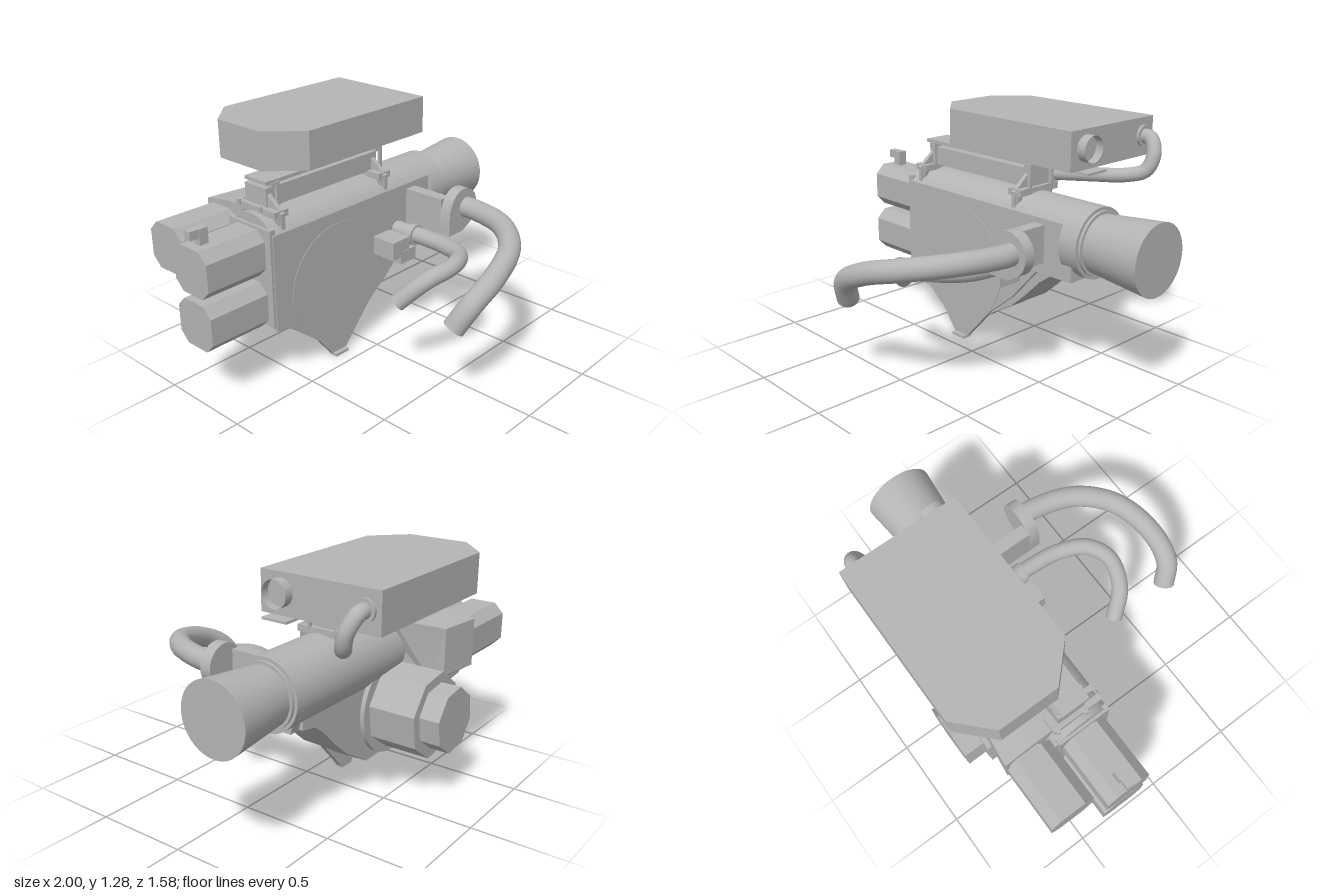
import * as THREE from 'three';
import { toCreasedNormals } from 'three/addons/utils/BufferGeometryUtils.js';

export function createModel() {
  const root = new THREE.Group();
  root.name = 'driveUnit';
  const grey = new THREE.MeshStandardMaterial({ color: 0xb4b4b4, side: THREE.DoubleSide });
  grey.name = 'machineGrey';

  const add = (name, geo) => {
    const m = new THREE.Mesh(geo, grey);
    m.name = name;
    root.add(m);
    return m;
  };
  // Box given by its limits on each axis
  const box = (name, x0, x1, y0, y1, z0, z1) => {
    const g = new THREE.BoxGeometry(x1 - x0, y1 - y0, z1 - z0);
    g.translate((x0 + x1) / 2, (y0 + y1) / 2, (z0 + z1) / 2);
    return add(name, g);
  };
  const polygon = (pts) => new THREE.Shape(pts.map(([a, b]) => new THREE.Vector2(a, b)));
  const extrude = (shape, depth) =>
    new THREE.ExtrudeGeometry(shape, { depth, bevelEnabled: false, curveSegments: 32 });
  // Outline in x,y swept from z0 to z1
  const slabZ = (name, shape, z0, z1) =>
    add(name, toCreasedNormals(extrude(shape, z1 - z0).translate(0, 0, z0), 0.5));
  // Outline in -z,y swept from x0 to x1
  const slabX = (name, shape, x0, x1) =>
    add(name, toCreasedNormals(extrude(shape, x1 - x0).rotateY(Math.PI / 2).translate(x0, 0, 0), 0.5));
  // Round bar along x; r0 at x0, r1 at x1
  const barX = (name, x0, x1, y, z, r0, r1 = r0, open = false) =>
    add(name, new THREE.CylinderGeometry(r0, r1, x1 - x0, 40, 1, open)
      .rotateZ(Math.PI / 2).translate((x0 + x1) / 2, y, z));
  // Octagonal outline with cut corners
  const octagon = (cx, cy, h, c) => polygon([
    [cx - h, cy - h + c], [cx - h + c, cy - h], [cx + h - c, cy - h], [cx + h, cy - h + c],
    [cx + h, cy + h - c], [cx + h - c, cy + h], [cx - h + c, cy + h], [cx - h, cy + h - c]]);
  // Bent pipe with closed ends
  const pipe = (name, pts, r) => {
    const curve = new THREE.CatmullRomCurve3(pts.map((p) => new THREE.Vector3(...p)));
    add(name, new THREE.TubeGeometry(curve, 64, r, 20));
    [0, 1].forEach((t) => {
      const cap = add(name + 'End', new THREE.CircleGeometry(r, 20));
      cap.position.copy(curve.getPointAt(t));
      const dir = curve.getTangentAt(t).multiplyScalar(t ? 1 : -1);
      cap.quaternion.setFromUnitVectors(new THREE.Vector3(0, 0, 1), dir);
    });
  };

  // Upper barrel, flattened at the front
  const barrel = new THREE.Shape();
  barrel.moveTo(0.1, 0.54);
  barrel.lineTo(0.1, 0.826);
  barrel.absarc(0.255, 0.725, 0.185, 2.565, -0.9, true);
  barrel.lineTo(0.36, 0.54);
  slabX('barrelHousing', barrel, -0.63, 0.6);

  // Nozzle with its rings
  barX('nozzleRing', 0.54, 0.65, 0.725, -0.255, 0.185);
  barX('nozzleCollar', 0.65, 0.665, 0.725, -0.255, 0.168);
  barX('nozzleCone', 0.66, 1, 0.725, -0.255, 0.152, 0.185);

  // Front plate with the pointed foot
  slabZ('frontPlate', polygon([
    [-0.63, 0.83], [-0.63, 0.31], [-0.53, 0.29], [-0.49, 0.25], [-0.34, 0.13], [-0.245, 0.01],
    [-0.15, 0.01], [0.04, 0.22], [0.2, 0.35], [0.38, 0.55], [0.54, 0.56], [0.54, 0.83]]), -0.13, -0.1);
  slabZ('lowerHousing', polygon([
    [-0.62, 0.75], [-0.62, 0.33], [-0.53, 0.28], [-0.4, 0.19], [0, 0.18], [0.06, 0.22],
    [0.18, 0.29], [0.27, 0.37], [0.38, 0.48], [0.45, 0.53], [0.54, 0.545], [0.54, 0.75]]), -0.385, -0.12);
  slabZ('footRib', polygon([
    [-0.4, 0.2], [-0.32, 0.13], [-0.27, 0.1], [-0.13, 0.1], [-0.06, 0.14], [0, 0.2]]), -0.24, -0.12);
  box('footLip', -0.245, -0.15, 0, 0.015, -0.13, -0.075);

  // Round cover on the front and round gear case at the back
  const disc = (name, r, z0, z1) => {
    const s = new THREE.Shape();
    s.absarc(-0.2, 0.445, r, 0, Math.PI * 2);
    slabZ(name, s, z0, z1);
  };
  disc('frontCover', 0.32, -0.13, -0.097);
  disc('rearGearCase', 0.265, -0.41, -0.38);

  // Motors along x
  const motorX = (name, x0, x1, y, z) => {
    slabX(name, octagon(-z, y, 0.123, 0.052), x0, x1);
    slabX(name + 'Neck', octagon(-z, y, 0.105, 0.04), x1, x1 + 0.05);
  };
  motorX('upperMotor', -1, -0.65, 0.725, -0.262);
  motorX('lowerMotor', -1, -0.65, 0.443, -0.262);
  motorX('rearUpperMotor', -0.93, -0.58, 0.735, -0.542);
  box('motorMount', -0.645, -0.61, 0.33, 0.86, -0.405, -0.105);

  // Cable plug on the upper motor
  box('plugPost', -0.95, -0.9, 0.84, 0.93, -0.29, -0.24);
  box('plugArm', -1, -0.95, 0.885, 0.93, -0.285, -0.245);

  // Rear gearbox, narrowing towards its inner end
  const gearbox = slabX('rearGearbox', polygon([
    [0.3, 0.56], [0.3, 0.89], [0.4, 0.9], [0.52, 0.89], [0.67, 0.865], [0.67, 0.61], [0.6, 0.56]]), -0.57, -0.2);
  const gp = gearbox.geometry.attributes.position;
  for (let i = 0; i < gp.count; i++) {
    if (gp.getX(i) > -0.3 && gp.getZ(i) < -0.5) {
      gp.setX(i, -0.32);
      gp.setZ(i, gp.getZ(i) + 0.03);
    }
  }
  gearbox.geometry = toCreasedNormals(gearbox.geometry, 0.3);

  // Motor facing backwards
  const motorZ = (name, r, z0, z1, turn) => {
    const pts = Array.from({ length: 8 }, (_, i) => {
      const a = turn + i * Math.PI / 4;
      return [-0.2 + r * Math.cos(a), 0.442 + r * Math.sin(a)];
    });
    slabZ(name, polygon(pts), z0, z1);
  };
  motorZ('backMotor', 0.228, -0.67, -0.4, 0.25);
  motorZ('backMotorCap', 0.173, -0.78, -0.67, 0.25);

  // Large outlet: bracket, flange and pipe
  box('largeOutletBracket', 0.35, 0.42, 0.6, 0.8, -0.12, 0.145);
  const flange = new THREE.Shape();
  flange.moveTo(0.35, 0.6);
  flange.lineTo(0.47, 0.6);
  flange.absarc(0.47, 0.73, 0.115, -1.2, 2.5);
  flange.lineTo(0.35, 0.74);
  slabZ('largeOutletFlange', flange, 0.145, 0.208);
  pipe('largeOutletPipe', [
    [0.49, 0.735, 0.15], [0.485, 0.735, 0.28], [0.41, 0.733, 0.5], [0.25, 0.705, 0.66],
    [0.03, 0.645, 0.728], [-0.13, 0.56, 0.718], [-0.195, 0.44, 0.665]], 0.057);

  // Small outlet: bracket, flange and pipe
  box('smallOutletBracket', 0.08, 0.21, 0.5, 0.6, -0.12, 0.045);
  box('smallOutletFoot', 0.14, 0.26, 0.458, 0.53, -0.11, 0.048);
  const ring = new THREE.Shape();
  ring.absarc(0.275, 0.585, 0.058, 0, Math.PI * 2);
  slabZ('smallOutletFlange', ring, 0, 0.042);
  pipe('smallOutletPipe', [
    [0.275, 0.588, -0.11], [0.277, 0.588, 0.08], [0.255, 0.593, 0.26], [0.18, 0.608, 0.405],
    [0.05, 0.612, 0.46], [-0.1, 0.57, 0.415], [-0.195, 0.45, 0.31]], 0.045);

  // Top case with cut corners on one end
  const lid = extrude(polygon([
    [-0.33, 0.145], [0.535, 0.145], [0.535, 0.79], [-0.33, 0.79], [-0.5, 0.63], [-0.5, 0.31]]), 0.203);
  add('topCase', lid.rotateX(-Math.PI / 2).translate(0, 1.075, 0));
  barX('casePort', 0.535, 0.585, 1.183, -0.258, 0.068, 0.068, true);
  barX('casePortSeat', 0.535, 0.54, 1.183, -0.258, 0.068);
  barX('caseHoseRing', 0.535, 0.55, 1.183, -0.71, 0.055);
  pipe('caseHose', [
    [0.535, 1.183, -0.71], [0.59, 1.175, -0.708], [0.632, 1.1, -0.68], [0.61, 1.02, -0.65],
    [0.53, 0.99, -0.6], [0.38, 0.985, -0.49], [0.21, 0.982, -0.38]], 0.038);

  // Rail and tray under the case
  box('mountRail', -0.57, 0.215, 0.93, 1.03, -0.36, -0.205);
  box('mountTray', -0.58, 0.24, 1.052, 1.07, -0.345, -0.19);
  box('trayLip', 0.2, 0.6, 1.063, 1.075, -0.34, -0.2);
  box('hoseSocket', 0.13, 0.24, 0.94, 1.025, -0.41, -0.35);

  // Legs, gussets and clamps at both ends of the rail
  [-0.55, 0.19].forEach((x) => {
    box('legPlate', x - 0.045, x + 0.045, 0.9, 0.935, -0.4, -0.12);
    slabX('legGusset', polygon([[0.11, 0.83], [0.11, 0.92], [0.205, 1], [0.205, 0.88]]), x - 0.012, x + 0.012);
    [-0.14, -0.37].forEach((z) => {
      add('legCone', new THREE.CylinderGeometry(0.032, 0.018, 0.08, 20).translate(x, 0.88, z));
    });
    [-0.19, -0.35].forEach((z) => box('clampPost', x + 0.03, x + 0.05, 0.93, 1.06, z - 0.008, z + 0.008));
    box('clampBar', x, x + 0.05, 1.035, 1.055, -0.355, -0.185);
  });

  // Bolts on the barrel end
  [-0.56, -0.6].forEach((x) => [-0.22, -0.38].forEach((z) => {
    add('barrelBolt', new THREE.CylinderGeometry(0.012, 0.012, 0.03, 10).translate(x, 0.93, z));
  }));

  return root;
}
